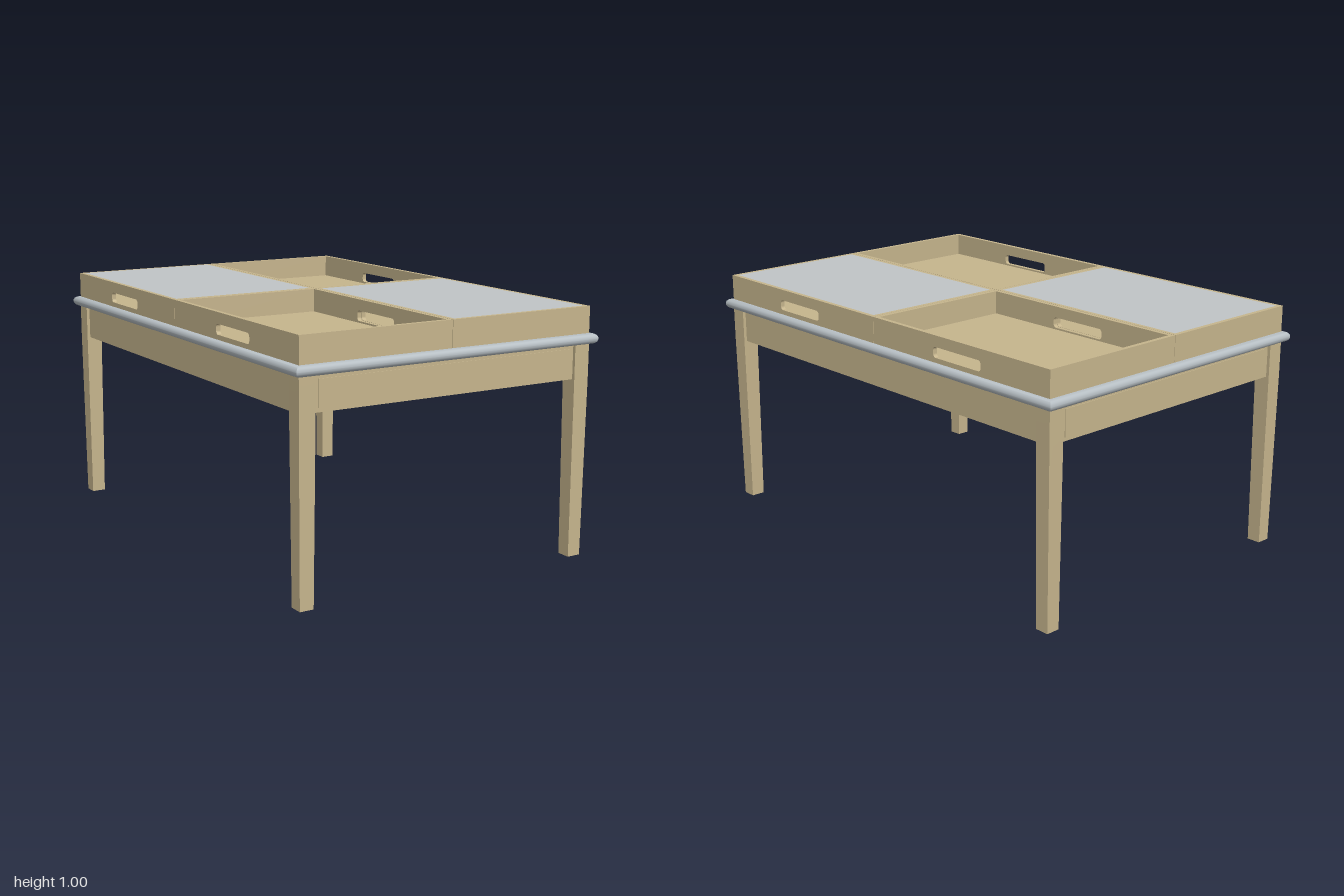
import * as THREE from 'three';
import { toCreasedNormals } from 'three/addons/utils/BufferGeometryUtils.js';

const wood = new THREE.MeshStandardMaterial({ name: 'paleWood', color: 0xc6b58d });
const panel = new THREE.MeshStandardMaterial({ name: 'greyPanel', color: 0xc0c5c7 });
const slabGrey = new THREE.MeshStandardMaterial({ name: 'greySlab', color: 0xb7bfc4 });

const SLAB_BOTTOM = 0.857, SLAB_TOP = 0.898, TRAY_TOP = 1.004;
const HALF_X = 0.653, HALF_Z = 0.974;

function add(parent, name, geometry, material, x = 0, y = 0, z = 0) {
  const mesh = new THREE.Mesh(geometry, material);
  mesh.name = name;
  mesh.position.set(x, y, z);
  parent.add(mesh);
  return mesh;
}

function box(parent, name, material, w, h, d, x, y, z) {
  return add(parent, name, new THREE.BoxGeometry(w, h, d), material, x, y, z);
}

function rectangle(target, w, h, r = 0, cy = 0) {
  const a = w / 2, b = h / 2;
  target.moveTo(-a + r, cy - b);
  target.lineTo(a - r, cy - b);
  if (r) target.absarc(a - r, cy - b + r, r, -Math.PI / 2, 0, false);
  target.lineTo(a, cy + b - r);
  if (r) target.absarc(a - r, cy + b - r, r, 0, Math.PI / 2, false);
  target.lineTo(-a + r, cy + b);
  if (r) target.absarc(-a + r, cy + b - r, r, Math.PI / 2, Math.PI, false);
  target.lineTo(-a, cy - b + r);
  if (r) target.absarc(-a + r, cy - b + r, r, Math.PI, Math.PI * 1.5, false);
  return target;
}

// Slab with a half-round edge
function slabGeometry() {
  const edge = 0.02, thick = SLAB_TOP - SLAB_BOTTOM;
  const shape = rectangle(new THREE.Shape(), 1.354 - edge * 2, 2 - edge * 2);
  const geo = new THREE.ExtrudeGeometry(shape, {
    depth: 0.001, bevelEnabled: true, bevelSize: edge,
    bevelThickness: (thick - 0.001) / 2, bevelSegments: 5,
  });
  geo.rotateX(-Math.PI / 2);
  geo.translate(0, (thick - 0.001) / 2, 0);
  return toCreasedNormals(geo, 0.7);
}

// Square leg, straight beside the apron and tapering below it
function legGeometry() {
  const height = SLAB_BOTTOM;
  const geo = new THREE.BoxGeometry(0.068, height, 0.068, 1, 2, 1);
  geo.translate(0, height / 2, 0);
  const p = geo.attributes.position;
  for (let i = 0; i < p.count; i++) {
    const y = p.getY(i);
    if (y < 0.01) {
      p.setX(i, p.getX(i) * 0.85);
      p.setZ(i, p.getZ(i) * 0.85);
    } else if (y < height - 0.01) {
      p.setY(i, 0.72);
    }
  }
  geo.computeVertexNormals();
  return geo;
}

// Tray side with a rounded hand hole
function handleWall(length, height, thick) {
  const shape = rectangle(new THREE.Shape(), length, height, 0, height / 2);
  shape.holes.push(rectangle(new THREE.Path(), 0.262, 0.042, 0.014, 0.04));
  const geo = new THREE.ExtrudeGeometry(shape, { depth: thick, bevelEnabled: false, curveSegments: 5 });
  geo.translate(0, 0, -thick / 2);
  geo.rotateY(Math.PI / 2);
  return geo;
}

function createTray(covered) {
  const tray = new THREE.Group();
  tray.name = covered ? 'coveredTray' : 'openTray';
  const w = HALF_X - 0.002, d = HALF_Z - 0.002, h = TRAY_TOP - SLAB_TOP, t = 0.018;
  const sideGeo = handleWall(d, h, t);
  for (const s of [-1, 1]) {
    add(tray, 'trayHandleWall', sideGeo, wood, s * (w - t) / 2, 0, 0);
    box(tray, 'trayEndWall', wood, w - 2 * t, h, t, 0, h / 2, s * (d - t) / 2);
  }
  box(tray, 'trayFloor', wood, w - 2 * t, 0.012, d - 2 * t, 0, 0.006, 0);
  if (covered) box(tray, 'trayCover', panel, w - 2 * t, 0.009, d - 2 * t, 0, h - 0.0045, 0);
  return tray;
}

export function createModel() {
  const table = new THREE.Group();
  table.name = 'trayTable';

  add(table, 'tableSlab', slabGeometry(), slabGrey, 0, SLAB_BOTTOM, 0);

  // Legs
  const legGeo = legGeometry();
  for (const sx of [-1, 1]) {
    for (const sz of [-1, 1]) {
      add(table, 'leg', legGeo, wood, sx * (HALF_X - 0.034), 0, sz * (HALF_Z - 0.034));
    }
  }

  // Aprons, with a thin panel on each end
  const apronH = SLAB_BOTTOM - 0.72, apronY = 0.72 + apronH / 2, apronT = 0.055;
  for (const s of [-1, 1]) {
    const z = HALF_Z - 0.068 + apronT / 2, x = HALF_X - 0.068 + apronT / 2;
    box(table, 'endApron', wood, 1.17, apronH, apronT, 0, apronY, s * z);
    box(table, 'endPanel', wood, 1.13, 0.105, 0.003, 0, 0.788, s * (z + apronT / 2 + 0.0015));
    box(table, 'sideApron', wood, apronT, apronH, 1.812, s * x, apronY, 0);
  }

  // Four trays, covered ones on opposite corners
  for (const sx of [-1, 1]) {
    for (const sz of [-1, 1]) {
      const tray = createTray(sx === sz);
      tray.position.set(sx * HALF_X / 2, SLAB_TOP, sz * HALF_Z / 2);
      table.add(tray);
    }
  }
  return table;
}
